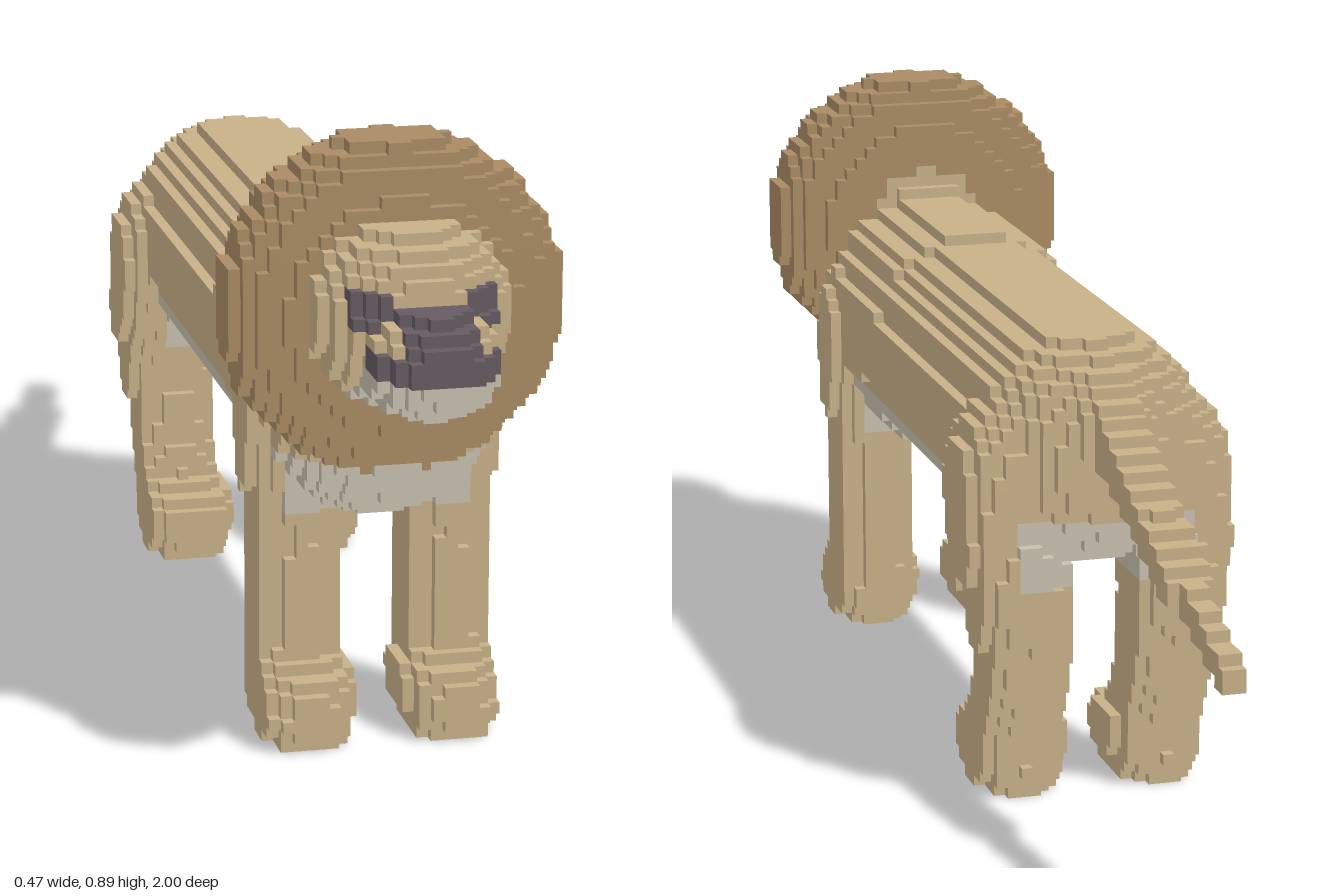
import * as THREE from 'three';

const V = 2 / 119;                       // cube size
const N = [30, 54, 119];                 // grid cells in x, y, z
const ORIGIN = [-15 * V, 0, -1];
const COLOURS = { tan: 0xc8b188, maneBrown: 0xaa8c64, pale: 0xc8c1b0, dark: 0x665b63 };

// Sum of powered, scaled offsets: inside a rounded solid when below 1
const round = (p, ...terms) => terms.reduce((s, t) => s + Math.abs(t) ** p, 0) < 1;

// Interpolate rows keyed by their first number
function along(rows, t) {
  if (t < rows[0][0] || t > rows[rows.length - 1][0]) return null;
  const i = Math.max(1, rows.findIndex(r => r[0] >= t));
  const a = rows[i - 1], b = rows[i], f = (t - a[0]) / (b[0] - a[0]);
  return a.map((q, k) => q + (b[k] - q) * f);
}

// Leg sections: y, centre z, half depth, centre x, half width
const FRONT_LEG = [
  [0, 0.585, 0.08, 0.105, 0.052], [0.04, 0.58, 0.10, 0.106, 0.066], [0.085, 0.577, 0.095, 0.104, 0.068],
  [0.12, 0.547, 0.062, 0.11, 0.06], [0.3, 0.545, 0.06, 0.108, 0.062], [0.45, 0.545, 0.066, 0.116, 0.07],
  [0.55, 0.545, 0.055, 0.13, 0.055], [0.6, 0.545, 0.03, 0.13, 0.03]];
const HIND_LEG = [
  [0, -0.29, 0.08, 0.105, 0.052], [0.04, -0.287, 0.10, 0.106, 0.066], [0.085, -0.285, 0.095, 0.104, 0.068],
  [0.12, -0.33, 0.064, 0.11, 0.06], [0.2, -0.365, 0.066, 0.108, 0.064], [0.3, -0.375, 0.07, 0.115, 0.07],
  [0.37, -0.35, 0.09, 0.122, 0.078], [0.46, -0.33, 0.1, 0.126, 0.077], [0.54, -0.33, 0.09, 0.125, 0.07],
  [0.6, -0.33, 0.05, 0.12, 0.035]];
// Tail sections: z, centre y, half height, half width
const TAIL = [
  [-1, 0.368, 0.02, 0.02], [-0.83, 0.43, 0.022, 0.022], [-0.8, 0.44, 0.025, 0.034],
  [-0.62, 0.515, 0.028, 0.036], [-0.5, 0.565, 0.042, 0.038], [-0.42, 0.6, 0.06, 0.055]];

const inLeg = (rows, side) => (x, y, z) => {
  const s = along(rows, y);
  return s && round(3, (z - s[1]) / s[2], (x * side - s[3]) / s[4]);
};
const underside = (x, y) => (y > 0.335 && y < 0.44 && Math.abs(x) < 0.135 ? 'pale' : 'tan');

const inMuzzle = (x, y, z) => z > 0.8 && round(2.3, x / 0.088, (y - 0.635) / 0.078, (z - 0.865) / 0.142);

// Parts in order of priority: name, inside test, colour rule
const PARTS = [
  ['muzzle', inMuzzle, (x, y, z) => {
    if (y < 0.622) return 'pale';
    return z > 0.89 && (y < 0.655 || Math.abs(x) < 0.052) ? 'dark' : 'tan';
  }],
  ['head', (x, y, z) => round(2.2, x / 0.138, (y - 0.668) / 0.13, (z - 0.735) / 0.18),
    (x, y, z) => {
      const ax = Math.abs(x);
      if (ax > 0.048 && ax < 0.102 && y > 0.67 && y < 0.722 && z > 0.815) return 'dark';
      return y < 0.62 && ax < 0.084 ? 'pale' : 'tan';
    }],
  ['mane', (x, y, z) => round(3, Math.hypot(x, y - 0.657) / 0.238, (z - 0.672) / 0.096), () => 'maneBrown'],
  ['body', (x, y, z) => {
    const cap = z > 0.58 ? (z - 0.58) / 0.16 : z < -0.3 ? (z + 0.3) / 0.17 : 0;
    const top = z > 0.28 ? 0.183 : 0.172;
    const bottom = z > 0.36 ? 0.183 : 0.168;
    const dy = y - 0.52;
    return round(2.25, x / 0.166, dy / (dy > 0 ? top : bottom), cap);
  }, (x, y) => (y < 0.44 && Math.abs(x) < 0.145 ? 'pale' : 'tan')],
  ['tail', (x, y, z) => {
    const s = along(TAIL, z);
    return s && round(4, (y - s[1]) / s[2], x / s[3]);
  }, () => 'tan'],
  ['leftFrontLeg', inLeg(FRONT_LEG, 1), underside],
  ['rightFrontLeg', inLeg(FRONT_LEG, -1), underside],
  ['leftHindLeg', inLeg(HIND_LEG, 1), underside],
  ['rightHindLeg', inLeg(HIND_LEG, -1), underside],
];

export function createModel() {
  const model = new THREE.Group();
  model.name = 'lion';
  const materials = {};
  for (const [name, color] of Object.entries(COLOURS)) {
    materials[name] = new THREE.MeshStandardMaterial({ color });
    materials[name].name = name;
  }

  // Fill the grid with cubes, each owned by the first part that contains it
  const owner = new Int8Array(N[0] * N[1] * N[2]).fill(-1);
  const index = c => (c[0] * N[1] + c[1]) * N[2] + c[2];
  const filled = c => c.every((q, a) => q >= 0 && q < N[a]) && owner[index(c)] >= 0;
  const centre = c => c.map((q, a) => ORIGIN[a] + (q + 0.5) * V);
  const cells = [];
  for (let i = 0; i < N[0]; i++)
    for (let j = 0; j < N[1]; j++)
      for (let k = 0; k < N[2]; k++) {
        const c = [i, j, k], p = centre(c);
        const part = PARTS.findIndex(q => q[1](...p));
        if (part < 0) continue;
        owner[index(c)] = part;
        cells.push(c);
      }

  // Collect the exposed cube faces by part and colour
  const faces = {};
  for (const c of cells) {
    const part = PARTS[owner[index(c)]];
    const colour = part[2](...centre(c));
    for (let a = 0; a < 3; a++)
      for (const s of [1, -1]) {
        const next = c.slice();
        next[a] += s;
        if (filled(next)) continue;
        const out = ((faces[part[0]] ??= {})[colour] ??= { position: [], normal: [] });
        const u = (a + 1) % 3, w = (a + 2) % 3;
        const corners = [[0, 0], [1, 0], [1, 1], [0, 1]];
        if (s < 0) corners.reverse();
        for (const m of [0, 1, 2, 0, 2, 3]) {
          const q = c.slice(), n = [0, 0, 0];
          if (s > 0) q[a] += 1;
          q[u] += corners[m][0];
          q[w] += corners[m][1];
          n[a] = s;
          out.position.push(...q.map((t, b) => ORIGIN[b] + t * V));
          out.normal.push(...n);
        }
      }
  }

  // One group per part, one mesh per colour
  for (const [name, byColour] of Object.entries(faces)) {
    const group = new THREE.Group();
    group.name = name;
    for (const [colour, data] of Object.entries(byColour)) {
      const geometry = new THREE.BufferGeometry();
      for (const key of ['position', 'normal'])
        geometry.setAttribute(key, new THREE.Float32BufferAttribute(data[key], 3));
      const mesh = new THREE.Mesh(geometry, materials[colour]);
      mesh.name = `${name} ${colour}`;
      group.add(mesh);
    }
    model.add(group);
  }
  return model;
}
